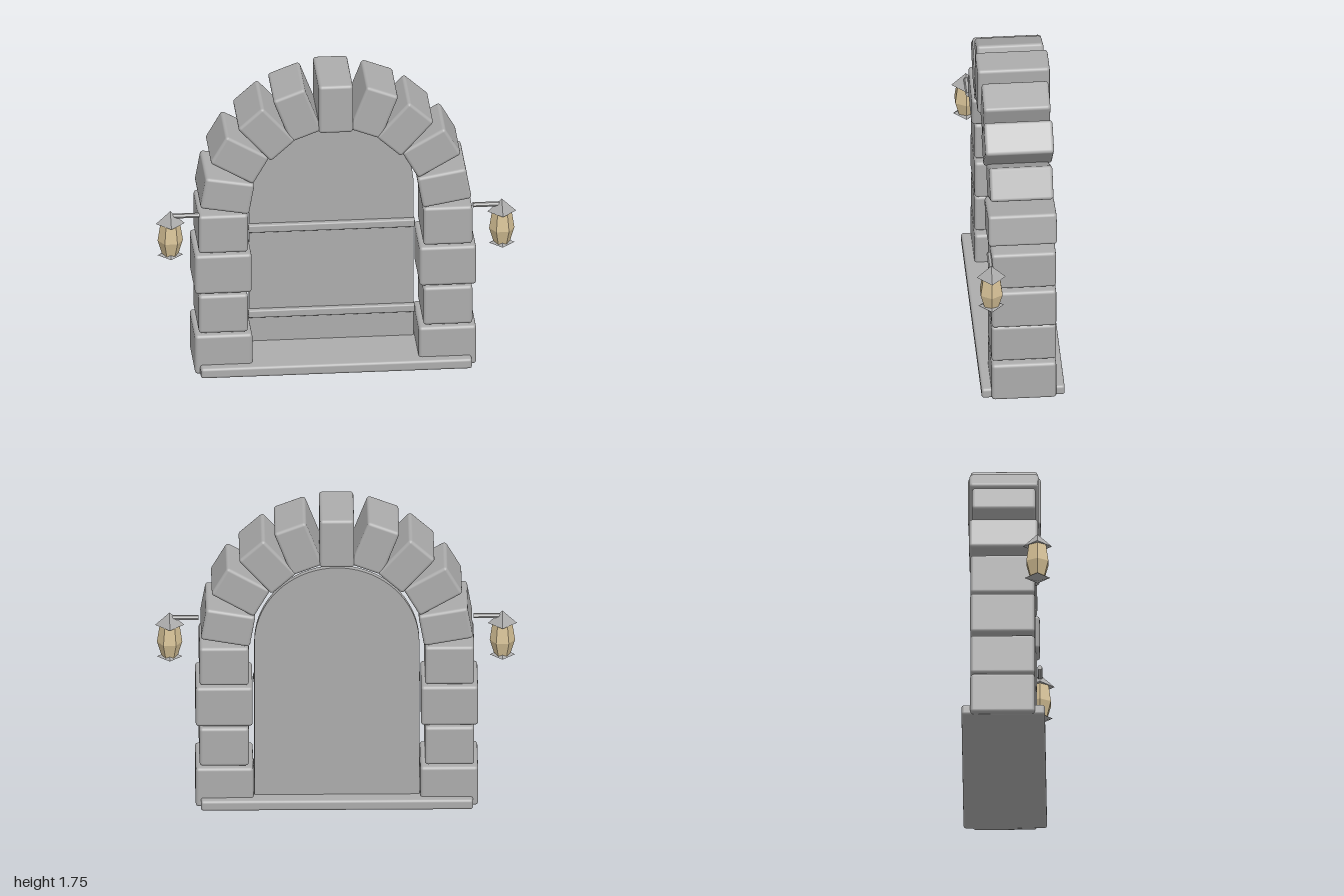
import * as THREE from 'three';
import { RoundedBoxGeometry } from 'three/addons/geometries/RoundedBoxGeometry.js';

export function createModel() {
  const root = new THREE.Group();
  const stone = new THREE.MeshStandardMaterial({ color: 0xacacac });
  stone.name = 'grey stone';
  const glass = new THREE.MeshStandardMaterial({ color: 0xd6c196 });
  glass.name = 'warm glass';

  const add = (name, geometry, material, parent, x = 0, y = 0, z = 0, turn = 0) => {
    const mesh = new THREE.Mesh(geometry, material);
    mesh.name = name;
    mesh.position.set(x, y, z);
    mesh.rotation.z = turn;
    parent.add(mesh);
    return mesh;
  };
  const block = (w, h, d, r = 0.018) => new RoundedBoxGeometry(w, h, d, 2, r);
  const faceted = (geometry) => {
    const g = geometry.toNonIndexed();
    g.computeVertexNormals();
    return g;
  };

  // Sill
  add('sill', block(1.5, 0.06, 0.46, 0.015), stone, root, 0, 0.03, -0.022);

  // Pillar stones: inner x, outer x, bottom, top
  const pillar = [
    [0.46, 0.778, 0.003, 0.237],
    [0.485, 0.757, 0.25, 0.48],
    [0.464, 0.778, 0.49, 0.725],
    [0.485, 0.757, 0.738, 0.967],
  ];
  // Arch stones: centre x, centre y, radial angle in degrees, depth
  const arch = [
    [0.6, 1.09, 10, 0.38],
    [0.53, 1.3, 30, 0.35],
    [0.383, 1.458, 48, 0.38],
    [0.212, 1.565, 69, 0.37],
  ];
  for (const side of [-1, 1]) {
    for (const [x0, x1, y0, y1] of pillar) {
      add('pillarStone', block(x1 - x0, y1 - y0, 0.357), stone, root,
        side * (x0 + x1) / 2, (y0 + y1) / 2, -0.025);
    }
    for (const [x, y, angle, depth] of arch) {
      add('archStone', block(0.275, 0.187, depth), stone, root,
        side * x, y, -0.02, side * THREE.MathUtils.degToRad(angle));
    }
  }
  add('keystone', block(0.19, 0.287, 0.4), stone, root, 0, 1.602, -0.02);

  // Arched back panel
  const shape = new THREE.Shape();
  shape.moveTo(-0.455, 0.03);
  shape.lineTo(0.455, 0.03);
  shape.lineTo(0.455, 0.98);
  shape.absarc(0, 0.98, 0.455, 0, Math.PI, false);
  shape.closePath();
  const panel = new THREE.ExtrudeGeometry(shape, { depth: 0.035, bevelEnabled: false, curveSegments: 18 });
  add('backPanel', panel, stone, root, 0, 0, -0.165);
  for (const y of [0.235, 0.755]) {
    add('panelRail', block(0.92, 0.045, 0.05, 0.008), stone, root, 0, y, -0.125);
  }

  // Hanging lanterns
  const bodyProfile = [[0.045, 0.755], [0.07, 0.84], [0.054, 0.945]]
    .map(([r, y]) => new THREE.Vector2(r, y));
  for (const side of [-1, 1]) {
    const lantern = new THREE.Group();
    lantern.name = side > 0 ? 'leftLantern' : 'rightLantern';
    lantern.position.set(side * 0.917, 0, 0.168);
    root.add(lantern);
    add('lanternArm', faceted(new THREE.CylinderGeometry(0.014, 0.014, 0.16, 6)), stone, lantern,
      -side * 0.08, 0.985, 0, Math.PI / 2);
    add('lanternRoof', faceted(new THREE.ConeGeometry(0.08, 0.075, 4)), stone, lantern, 0, 0.978);
    add('lanternGlass', faceted(new THREE.LatheGeometry(bodyProfile, 6, Math.PI / 6)), glass, lantern);
    add('lanternBase', faceted(new THREE.ConeGeometry(0.07, 0.035, 4)), stone, lantern, 0, 0.767);
    add('lanternTip', faceted(new THREE.ConeGeometry(0.07, 0.02, 4)), stone, lantern, 0, 0.74, 0, Math.PI);
  }
  return root;
}
